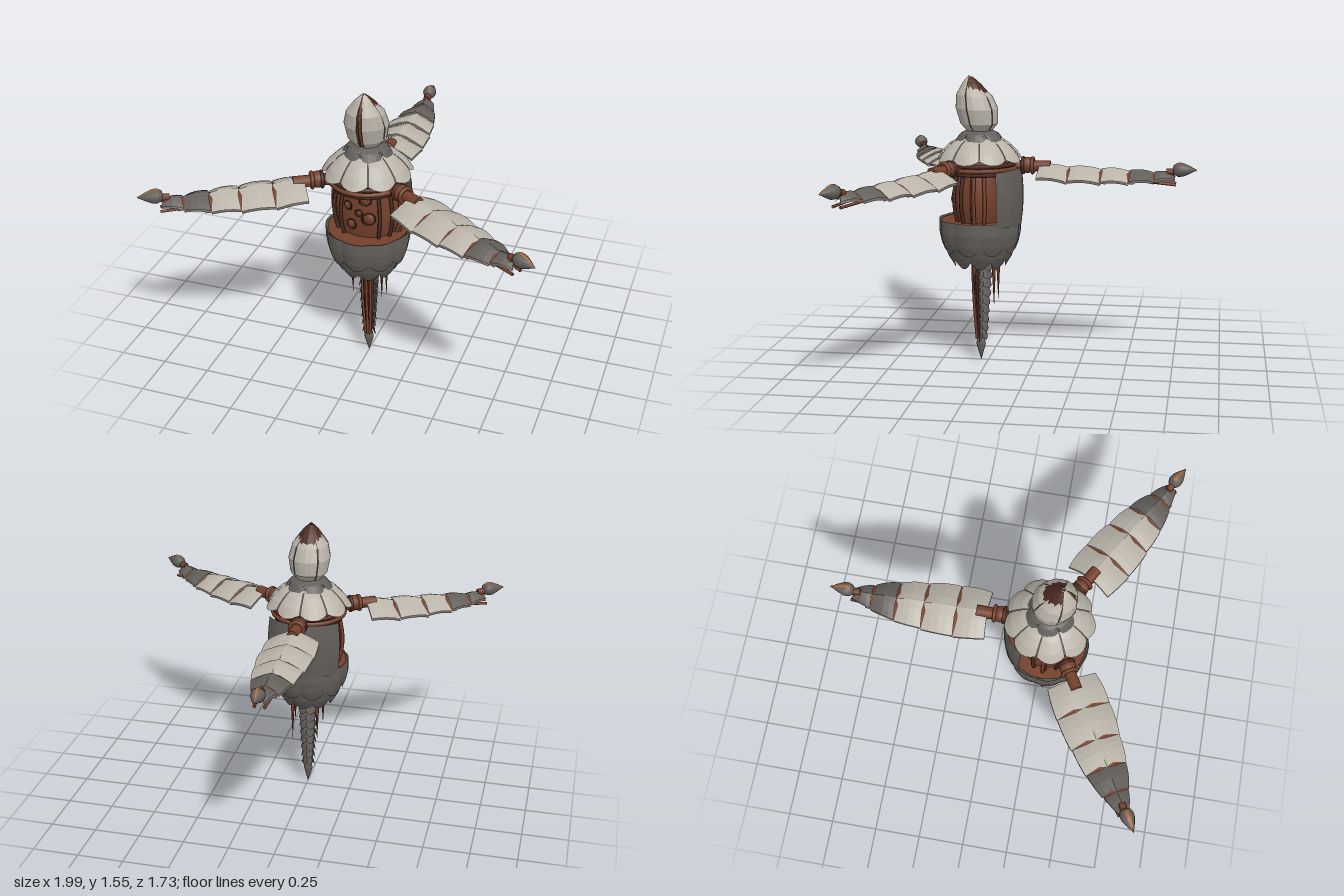
import * as THREE from 'three';

const mat = (name, color) => {
  const m = new THREE.MeshStandardMaterial({ color, side: THREE.DoubleSide });
  m.name = name;
  return m;
};
const pale = mat('pale shell', 0xb9b3a8);
const dark = mat('dark shell', 0x625e5a);
const brown = mat('red brown flesh', 0x74402c);
const deep = mat('deep brown', 0x4a2a20);
const copper = mat('copper', 0xa8683c);

const lerp = THREE.MathUtils.lerp;
const V = (x, y, z) => new THREE.Vector3(x, y, z);

function add(parent, name, geo, material, x = 0, y = 0, z = 0) {
  const m = new THREE.Mesh(geo, material);
  m.name = name;
  m.position.set(x, y, z);
  parent.add(m);
  return m;
}

// Faceted open surface; f(u, v) gives a point, u in -1..1, v in 0..1
function sheet(nu, nv, f) {
  const pos = [], idx = [];
  for (let j = 0; j <= nv; j++)
    for (let i = 0; i <= nu; i++) pos.push(...f((i / nu) * 2 - 1, j / nv));
  for (let j = 0; j < nv; j++)
    for (let i = 0; i < nu; i++) {
      const a = j * (nu + 1) + i, b = a + 1, c = a + nu + 1, d = c + 1;
      idx.push(a, c, b, b, c, d);
    }
  const g = new THREE.BufferGeometry();
  g.setAttribute('position', new THREE.Float32BufferAttribute(pos, 3));
  g.setIndex(idx);
  const flat = g.toNonIndexed();
  flat.computeVertexNormals();
  return flat;
}

// Radius of a [radius, y] profile at t in 0..1
function along(profile, t) {
  const s = Math.min(t, 0.9999) * (profile.length - 1), i = Math.floor(s);
  return [0, 1].map(k => lerp(profile[i][k], profile[i + 1][k], s - i));
}

const lathe = (points, n = 24) => new THREE.LatheGeometry(points.map(p => new THREE.Vector2(...p)), n);
const rod = (points, r) => new THREE.TubeGeometry(new THREE.CatmullRomCurve3(points), 12, r, 6);

// Ring of curved petals following a profile, with pointed lower ends
function petals(parent, name, material, n, offset, profile, point, spread = 1) {
  for (let k = 0; k < n; k++) {
    const mid = ((k + offset) / n) * Math.PI * 2;
    add(parent, name, sheet(6, 6, (u, v) => {
      const [r, y] = along(profile, v * (1 - point * u * u));
      const a = mid + (u * spread * Math.PI) / n;
      const rr = r * (1 + 0.04 * (1 - u * u));
      return [Math.sin(a) * rr, y, Math.cos(a) * rr];
    }), material);
  }
}

function makeHead() {
  const g = new THREE.Group();
  g.name = 'head';
  const profile = [[0.055, 1.245], [0.1, 1.3], [0.113, 1.38], [0.096, 1.45], [0.045, 1.515], [0.004, 1.55]];
  const lean = y => 0.05 * Math.max(0, (y - 1.27) / 0.28) ** 1.5;
  // Five bud petals, leaving a slit at the front
  for (let k = 0; k < 5; k++) {
    const mid = ((k + 0.5) / 5) * Math.PI * 2;
    add(g, 'headPetal', sheet(4, 10, (u, v) => {
      const [r, y] = along(profile, v);
      const edge = (k === 0 && u === -1) || (k === 4 && u === 1) ? 0.8 : 0.97;
      const a = mid + (u * edge * Math.PI) / 5;
      return [Math.sin(a) * r, y - 0.004 * k * (4 - k) * v, Math.cos(a) * r + lean(y)];
    }), pale);
  }
  add(g, 'headCore', sheet(14, 10, (u, v) => {
    const [r, y] = along(profile, v * 0.96);
    return [Math.sin(u * Math.PI) * r * 0.9, y, Math.cos(u * Math.PI) * r * 0.9 + lean(y)];
  }), deep);
  add(g, 'headSeam', rod([V(0, 1.28, 0.082), V(0, 1.38, 0.113), V(0, 1.46, 0.103), V(0, 1.52, 0.07)], 0.007), brown);
  return g;
}

// Arm built along -z from the body axis
function makeArm() {
  const g = new THREE.Group();
  g.name = 'arm';
  // Shoulder joint
  add(g, 'shoulderStalk', new THREE.CylinderGeometry(0.03, 0.03, 0.2, 12), brown, 0, 1.075, -0.28).rotation.x = Math.PI / 2;
  add(g, 'shoulderBall', new THREE.SphereGeometry(0.043, 16, 10), brown, 0, 1.08, -0.255);
  for (const z of [-0.235, -0.285])
    add(g, 'shoulderRing', new THREE.TorusGeometry(0.038, 0.01, 8, 18), z < -0.25 ? brown : deep, 0, 1.078, z);

  // Roof-shaped plates: [start, end, start half width, end half width]
  const plates = [
    [0.32, 0.475, 0.13, 0.142], [0.485, 0.645, 0.14, 0.13], [0.655, 0.79, 0.125, 0.108],
    [0.8, 0.92, 0.105, 0.07], [0.93, 1.03, 0.065, 0.025]];
  const surface = ([r0, r1, w0, w1], drop) => (u, v) => {
    const r = lerp(r0, r1, v), w = lerp(w0, w1, v);
    const ragged = 0.012 * Math.cos(u * 7) * (v - 0.3);
    const bow = 0.01 * Math.sin(v * Math.PI);
    const crest = 1.085 - 0.03 * (r - 0.32) / 0.7;
    return [u * (w + bow * 0.5), crest + bow - 0.006 * v - drop - Math.abs(u) ** 1.4 * (0.02 + w * 0.27), -r - ragged];
  };
  plates.forEach((p, i) => {
    add(g, 'armPlate', sheet(6, 4, surface(p, 0)), i < 3 ? pale : dark);
    add(g, 'armPlateLining', sheet(6, 4, surface(p, 0.012)), dark);
    if (i < 4) {
      const q = plates[i + 1];
      add(g, 'armJoint', sheet(6, 1, surface([p[1] - 0.02, q[0] + 0.02, p[3] * 0.96, q[2] * 0.96], 0.007)), brown);
    }
  });
  // Flesh flashes on the last plate
  for (const s of [-1, 1])
    add(g, 'armFlash', sheet(1, 2, (u, v) => {
      const r = lerp(0.93, 1.02, v), x = s * (0.034 + 0.014 * u) * (1 - v * 0.6);
      return [x, 1.056 - Math.abs(x) * 0.42, -r];
    }), brown);

  // Sinews underneath
  for (const x of [-0.05, 0, 0.05])
    add(g, 'armSinew', rod([V(x * 0.4, 1.065, -0.3), V(x, 1.04, -0.5), V(x * 0.9, 1.02, -0.8), V(x * 0.5, x ? 0.995 : 1.05, -1.04)], 0.008), brown);

  // Pod at the tip
  add(g, 'podNeck', new THREE.CylinderGeometry(0.016, 0.02, 0.06, 10), brown, 0, 1.06, -1.02).rotation.x = Math.PI / 2;
  const podProfile = [[0, 0], [0.026, 0.008], [0.036, 0.03], [0.035, 0.055], [0.02, 0.09], [0.008, 0.112], [0, 0.13]];
  add(g, 'pod', lathe(podProfile, 12), dark, 0, 1.07, -1.02).rotation.x = -Math.PI / 2;
  add(g, 'podStripe', sheet(2, 6, (u, v) => {
    const [r, d] = along(podProfile, 0.25 + 0.7 * v);
    return [u * 0.011 * (1 - v * 0.7), 1.073 + r - 0.002 * u * u, -1.02 - d];
  }), copper);
  return g;
}

function makeBody() {
  const g = new THREE.Group();
  g.name = 'body';
  const barrel = [[0.13, 0.74], [0.158, 0.82], [0.168, 0.91], [0.155, 1.0], [0.135, 1.07]];
  const squash = 0.82;
  add(g, 'barrel', lathe(barrel), brown).scale.z = squash;
  // Ribs
  for (const a of [0.62, 1.05, 1.5, 1.95])
    for (const s of [-1, 1])
      add(g, 'rib', rod(barrel.map(([r, y]) => V(s * Math.sin(a) * (r + 0.012), y, Math.cos(a) * (r + 0.012) * squash)), 0.01), s * a > 1.2 ? brown : deep);
  for (const s of [-1, 1])
    add(g, 'sideHoop', rod([V(s * 0.17, 1.05, 0), V(s * 0.188, 0.95, 0), V(s * 0.188, 0.87, 0), V(s * 0.168, 0.78, 0)], 0.01), brown);
  // Round wart marks on the front
  for (const [x, y, r] of [[0.03, 1.0, 0.03], [0.05, 0.9, 0.034], [-0.04, 0.86, 0.026], [-0.06, 0.96, 0.024], [0, 0.93, 0.018]]) {
    const z = Math.sqrt(0.165 ** 2 - x * x) * squash - Math.max(0, y - 0.95) * 0.2;
    add(g, 'wart', new THREE.SphereGeometry(r * 0.9, 12, 8), brown, x, y, z).scale.z = 0.55;
    add(g, 'wartRing', new THREE.TorusGeometry(r, 0.004, 6, 18), deep, x, y, z + 0.004).rotation.y = Math.atan2(x, z);
  }
  // Back shield
  add(g, 'backShield', sheet(10, 5, (u, v) => {
    const a = Math.PI + u * 1.02, r = 0.222 + 0.012 * Math.sin(v * Math.PI);
    return [Math.sin(a) * r, lerp(1.07, 0.76, v) + 0.02 * u * u * (v - 0.5), Math.cos(a) * r];
  }), dark);
  // Shoulder hoops
  for (const [r, y, m] of [[0.19, 1.09, deep], [0.195, 1.066, brown], [0.18, 1.045, deep]])
    add(g, 'hoop', new THREE.TorusGeometry(r, 0.012, 8, 36), m, 0, y, 0).rotation.x = Math.PI / 2;
  add(g, 'bodyTop', new THREE.CylinderGeometry(0.185, 0.16, 0.03, 28), deep, 0, 1.065, 0);
  add(g, 'neck', new THREE.CylinderGeometry(0.07, 0.1, 0.18, 16), brown, 0, 1.15, 0);
  for (let k = 0; k < 9; k++) {
    const a = (k / 9) * Math.PI * 2, c = Math.cos(a), s = Math.sin(a);
    add(g, 'collarStrut', rod([V(s * 0.17, 1.08, c * 0.17), V(s * 0.16, 1.13, c * 0.16), V(s * 0.1, 1.19, c * 0.1)], 0.008), brown);
  }
  // Scalloped collar and the dark cap beneath the head
  petals(g, 'collarPetal', pale, 9, 0, [[0.1, 1.225], [0.15, 1.195], [0.195, 1.15], [0.225, 1.1]], 0.14, 0.97);
  add(g, 'collarLining', lathe([[0.09, 1.215], [0.15, 1.18], [0.19, 1.14], [0.205, 1.115]]), dark);
  petals(g, 'neckPetal', dark, 6, 0.5, [[0.06, 1.265], [0.1, 1.245], [0.13, 1.2]], 0.3, 0.98);
  add(g, 'neckCap', lathe([[0.05, 1.27], [0.09, 1.25], [0.115, 1.205]]), dark);

  // Skirt of two tiers
  petals(g, 'upperSkirtPetal', dark, 9, 0, [[0.212, 0.79], [0.212, 0.72], [0.2, 0.66], [0.18, 0.61]], 0.3);
  petals(g, 'lowerSkirtPetal', dark, 9, 0.5, [[0.195, 0.76], [0.188, 0.66], [0.165, 0.59], [0.13, 0.53]], 0.22);
  add(g, 'skirtRim', new THREE.CylinderGeometry(0.208, 0.2, 0.02, 32), brown, 0, 0.772, 0);
  add(g, 'skirtCore', lathe([[0.17, 0.72], [0.13, 0.6], [0.05, 0.54]]), brown);
  return g;
}

function makeTail() {
  const g = new THREE.Group();
  g.name = 'tail';
  // Overlapping half cups open toward the front
  const n = 9;
  for (let i = 0; i < n; i++) {
    const y = lerp(0.56, 0.17, i / (n - 1)), r = lerp(0.048, 0.026, i / (n - 1));
    add(g, 'tailCup', sheet(8, 2, (u, v) => {
      const a = Math.PI + u * 1.75, rr = r * (0.85 + 0.3 * v);
      return [Math.sin(a) * rr, y + 0.01 - v * (0.058 - 0.012 * Math.cos(u * 9)), Math.cos(a) * rr - r * 0.25];
    }), dark);
    for (const s of [-1, 1])
      add(g, 'tailBarb', new THREE.ConeGeometry(0.007, 0.045, 5), dark, s * (r + 0.006), y - 0.045, 0).rotation.z = Math.PI + s * 0.35;
  }
  add(g, 'tailCore', new THREE.CylinderGeometry(0.036, 0.016, 0.48, 10), deep, 0, 0.34, 0);
  for (const x of [-0.022, 0, 0.022])
    add(g, 'tailSinew', rod([V(x, 0.58, 0.04), V(x, 0.35, 0.034), V(x * 0.6, 0.12, 0.02)], 0.008), brown);
  add(g, 'tailTip', lathe([[0, 0], [0.014, 0.045], [0.026, 0.09], [0.018, 0.125], [0, 0.13]], 8), dark);
  // Hanging spines
  for (const s of [-1, 1]) {
    for (const [x, z, y, h] of [[0.07, -0.085, 0.44, 0.26], [0.08, 0.02, 0.47, 0.2]])
      add(g, 'spine', new THREE.ConeGeometry(0.013, h, 6), brown, s * x, y, z).rotation.x = Math.PI;
  }
  return g;
}

export function createModel() {
  const model = new THREE.Group();
  model.name = 'creature';
  const core = new THREE.Group();
  core.name = 'figure';
  core.position.z = 0.29;
  core.add(makeHead(), makeBody(), makeTail());
  for (let k = 0; k < 3; k++) {
    const arm = makeArm();
    arm.rotation.y = (k * Math.PI * 2) / 3;
    core.add(arm);
  }
  model.add(core);
  return model;
}
